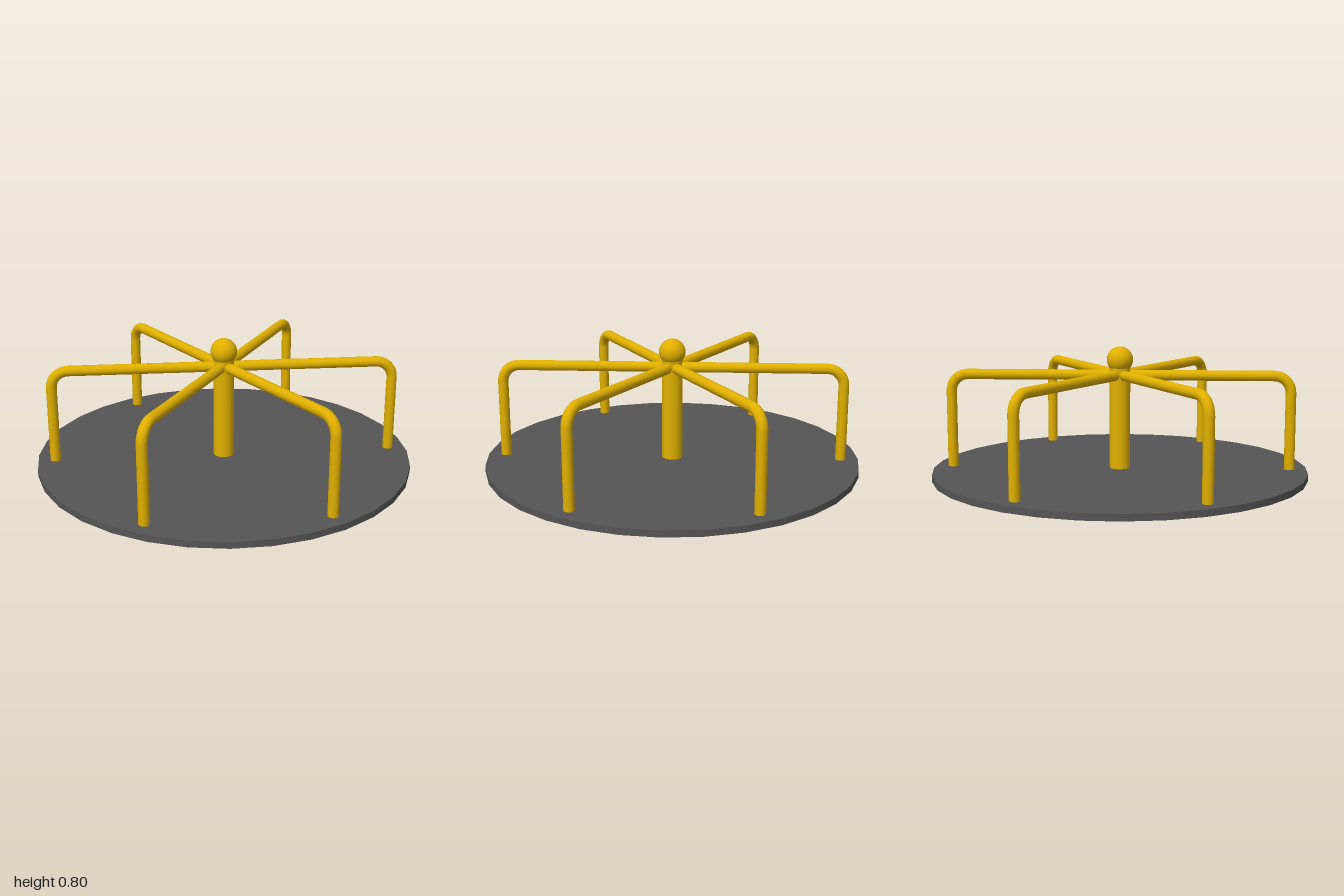
import * as THREE from 'three';

const paint = (color) => new THREE.MeshStandardMaterial({ color });

function addMesh(parent, name, geometry, material, y = 0) {
  const mesh = new THREE.Mesh(geometry, material);
  mesh.name = name;
  mesh.position.y = y;
  parent.add(mesh);
  return mesh;
}

// Vertical cylinder spanning y0 to y1
function addDrum(parent, name, radius, y0, y1, sides, material) {
  return addMesh(parent, name, new THREE.CylinderGeometry(radius, radius, y1 - y0, sides), material, (y0 + y1) / 2);
}

export function createModel() {
  const group = new THREE.Group();
  group.name = 'merryGoRound';
  const yellow = paint(0xe0b000);
  const deckGrey = paint(0x555555);
  const black = paint(0x0c0c0c);

  // Turning base and round deck
  addDrum(group, 'base', 0.6, 0, 0.11, 32, black);
  addDrum(group, 'deck', 1, 0.107, 0.142, 32, deckGrey);

  // Centre post with ball finial
  addDrum(group, 'centrePost', 0.055, 0.13, 0.7, 20, yellow);
  addMesh(group, 'ballFinial', new THREE.SphereGeometry(0.07, 24, 16), yellow, 0.725);

  // Handrail: up from the deck, round the bend, in to the post
  const reach = 0.905, top = 0.643, bend = 0.09;
  const v = (x, y) => new THREE.Vector3(x, y, 0);
  const k = bend * 0.448;
  const path = new THREE.CurvePath();
  path.add(new THREE.LineCurve3(v(reach, 0.13), v(reach, top - bend)));
  path.add(new THREE.CubicBezierCurve3(v(reach, top - bend), v(reach, top - k), v(reach - k, top), v(reach - bend, top)));
  path.add(new THREE.LineCurve3(v(reach - bend, top), v(0, top)));
  const railGeometry = new THREE.TubeGeometry(path, 72, 0.028, 12);

  for (let i = 0; i < 6; i++) {
    addMesh(group, `handrail${i + 1}`, railGeometry, yellow).rotation.y = (i * Math.PI) / 3;
  }
  return group;
}
